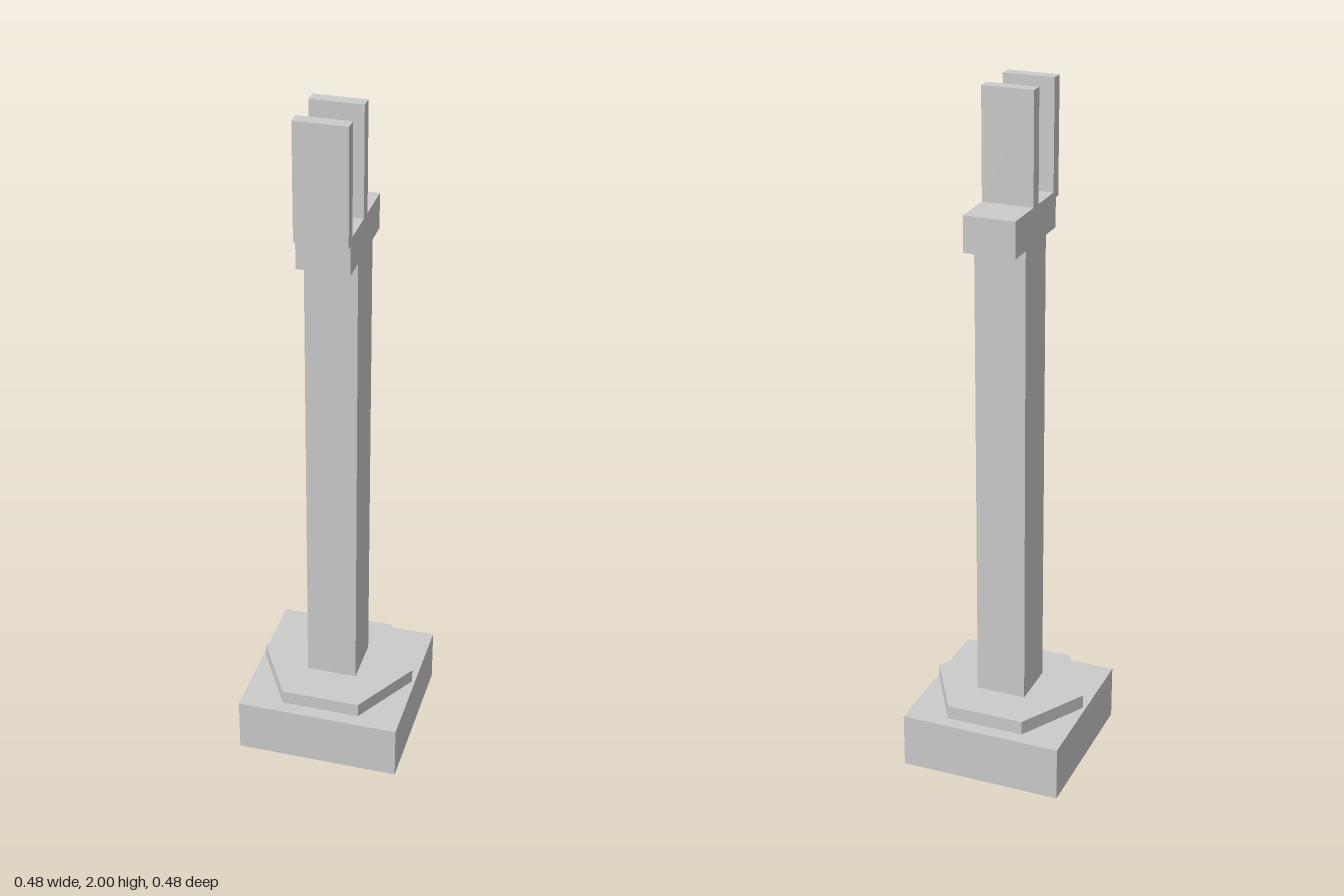
import * as THREE from 'three';

const material = new THREE.MeshStandardMaterial({ color: 0xcccccc, flatShading: true });

export function createModel() {
  const model = new THREE.Group();
  model.name = 'forkedPost';

  function add(name, geometry, y, z = 0) {
    const mesh = new THREE.Mesh(geometry, material);
    mesh.name = name;
    mesh.position.set(0, y, z);
    model.add(mesh);
  }

  // Box given by its width and its y and z ranges
  function block(name, width, y0, y1, z0, z1) {
    add(name, new THREE.BoxGeometry(width, y1 - y0, z1 - z0), (y0 + y1) / 2, (z0 + z1) / 2);
  }

  const width = 0.148;

  // Square base with a hexagonal collar, corners pointing left and right
  block('base', 0.48, 0, 0.163, -0.24, 0.24);
  add('hexCollar', new THREE.CylinderGeometry(0.231, 0.231, 0.042, 6).rotateY(Math.PI / 2), 0.184);

  // Square column and the crosspiece on top of it
  block('column', width, 0.205, 1.582, -0.074, 0.074);
  block('crosspiece', width, 1.582, 1.685, -0.148, 0.148);

  // Two upright plates; the front one overhangs the crosspiece edge
  block('middlePlate', width, 1.685, 2, -0.019, 0.018);
  block('frontPlate', width, 1.667, 2, 0.13, 0.167);

  return model;
}
